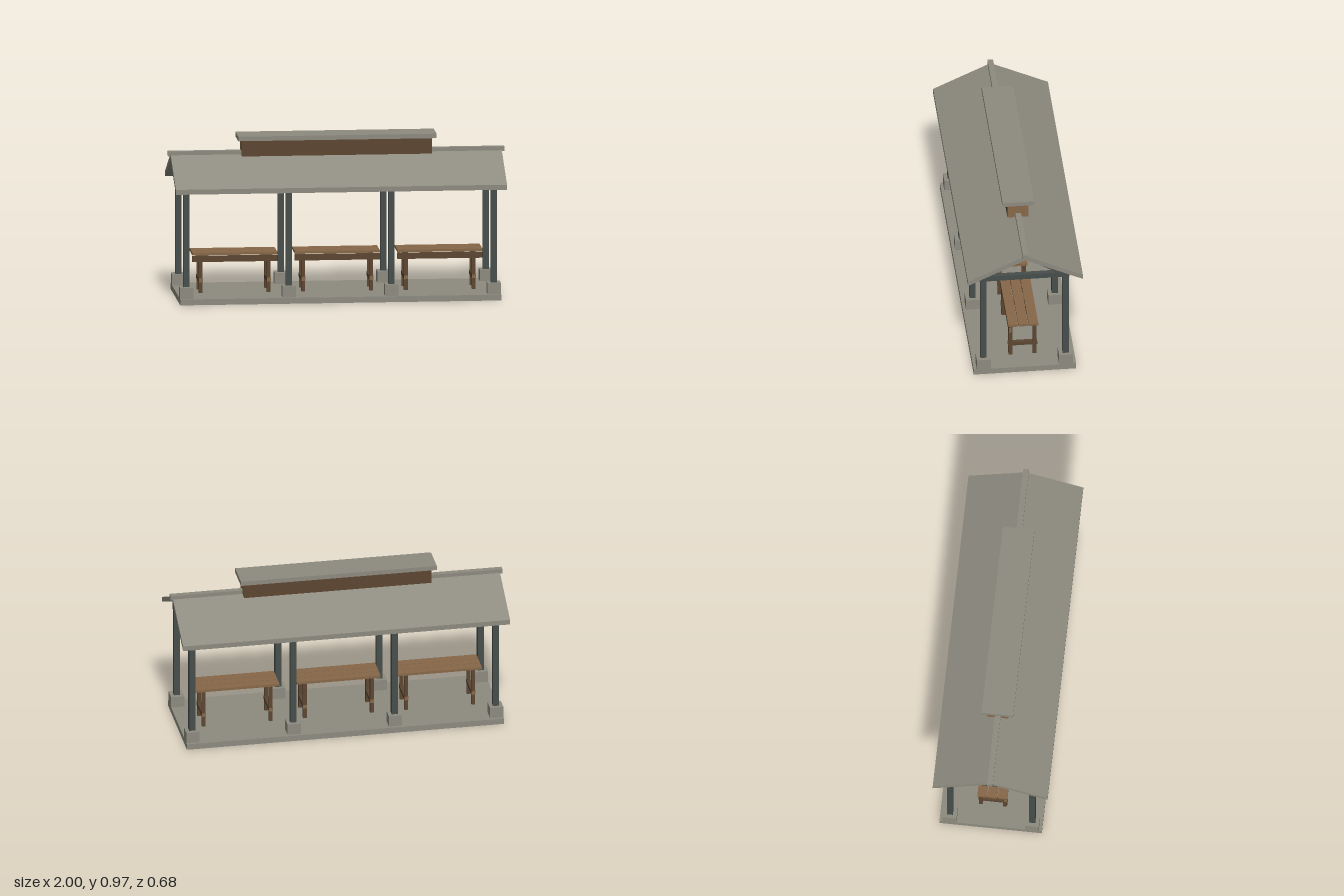
import * as THREE from 'three';

const mat = (name, color) => Object.assign(new THREE.MeshStandardMaterial({ color }), { name });

export function createModel() {
  const stone = mat('warm grey', 0x8e8c80);
  const steel = mat('dark steel', 0x464e4b);
  const wood = mat('light wood', 0x876848);
  const darkWood = mat('dark wood', 0x5c4632);
  const endsX = [wood, wood, darkWood, darkWood, darkWood, darkWood]; // pale end grain on x faces
  const endsZ = [darkWood, darkWood, darkWood, darkWood, wood, wood]; // pale end grain on z faces

  const model = new THREE.Group();
  model.name = 'picnicShelter';

  // Box given by width, depth, bottom and top height, and centre
  const box = (parent, name, material, w, d, y0, y1, x = 0, z = 0) => {
    const mesh = new THREE.Mesh(new THREE.BoxGeometry(w, y1 - y0, d), material);
    mesh.position.set(x, (y0 + y1) / 2, z);
    mesh.name = name;
    parent.add(mesh);
  };

  // Outline in z (across) and y, extruded along x and centred
  const profile = (parent, name, material, points, length, x = 0) => {
    const shape = new THREE.Shape(points.map(([z, y]) => new THREE.Vector2(z, y)));
    const geo = new THREE.ExtrudeGeometry(shape, { depth: length, bevelEnabled: false });
    geo.translate(0, 0, -length / 2).rotateY(Math.PI / 2);
    const mesh = new THREE.Mesh(geo, material);
    mesh.position.x = x;
    mesh.name = name;
    parent.add(mesh);
  };

  // Symmetric inverted V with vertical ends
  const chevron = (half, eave, apex, thick) => [
    [-half, eave - thick], [0, apex - thick], [half, eave - thick],
    [half, eave], [0, apex], [-half, eave],
  ];

  box(model, 'floorSlab', stone, 1.91, 0.61, 0, 0.035);

  // Frames: footings, posts, tie beam and rafters
  for (const x of [-0.915, -0.305, 0.305, 0.915]) {
    const frame = new THREE.Group();
    frame.name = 'frame';
    for (const z of [-0.245, 0.245]) {
      box(frame, 'footing', stone, 0.08, 0.083, 0.035, 0.102, x, z);
      box(frame, 'post', steel, 0.036, 0.036, 0.1, 0.7, x, z);
    }
    box(frame, 'tieBeam', steel, 0.03, 0.534, 0.655, 0.688, x);
    profile(frame, 'rafters', steel, chevron(0.24, 0.687, 0.83, 0.025), 0.026, x);
    model.add(frame);
  }
  for (const z of [-0.245, 0.245]) box(model, 'eaveBeam', steel, 1.872, 0.034, 0.657, 0.698, 0, z);

  // Roof with ridge cap and raised vent
  profile(model, 'roof', stone, chevron(0.342, 0.7, 0.862, 0.03), 1.97);
  box(model, 'ridgeCap', stone, 2, 0.034, 0.848, 0.877);
  box(model, 'ventBox', endsX, 1.13, 0.126, 0.848, 0.945);
  box(model, 'ventRoof', stone, 1.18, 0.188, 0.945, 0.972);

  // Tables
  for (const x of [-0.61, 0, 0.61]) {
    const table = new THREE.Group();
    table.name = 'table';
    table.position.x = x;
    for (const z of [-0.061, 0, 0.061]) box(table, 'plank', wood, 0.505, 0.057, 0.263, 0.278, 0, z);
    box(table, 'apron', endsX, 0.505, 0.016, 0.222, 0.258, 0, 0.078);
    for (const lx of [-0.202, 0.202]) {
      for (const z of [-0.072, 0.072]) box(table, 'leg', darkWood, 0.022, 0.023, 0.035, 0.263, lx, z);
      box(table, 'stretcher', endsZ, 0.024, 0.174, 0.1, 0.123, lx);
    }
    model.add(table);
  }
  return model;
}
